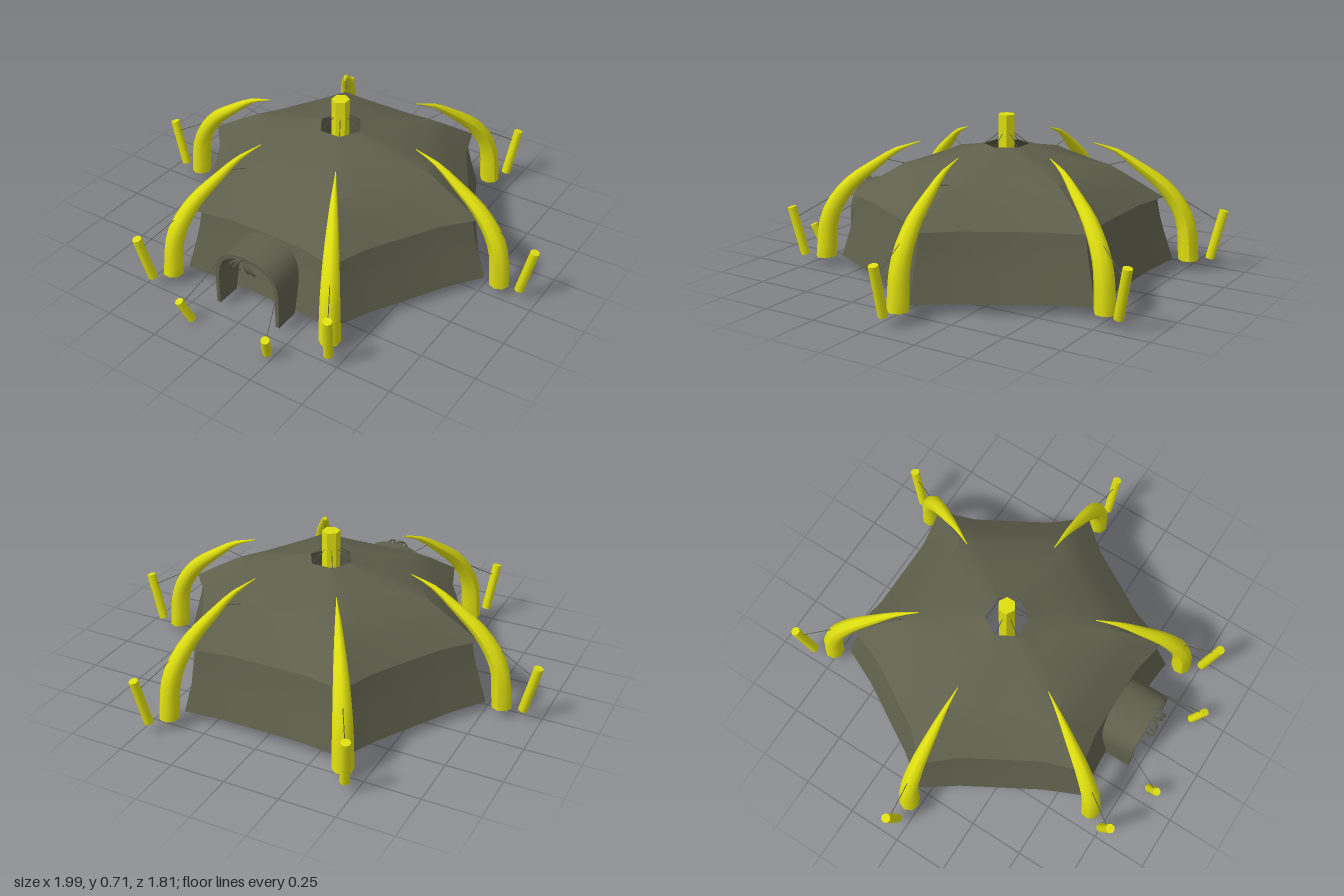
import * as THREE from 'three';
import { toCreasedNormals } from 'three/addons/utils/BufferGeometryUtils.js';

const canvas = new THREE.MeshStandardMaterial({ color: 0x5f5f4c, side: THREE.DoubleSide });
canvas.name = 'canvas';
const yellow = new THREE.MeshStandardMaterial({ color: 0xdede10 });
yellow.name = 'yellow';
const V = (x, y, z) => new THREE.Vector3(x, y, z);

function add(parent, name, geometry, material) {
  const mesh = new THREE.Mesh(geometry, material);
  mesh.name = name;
  parent.add(mesh);
  return mesh;
}

// straight rod between two points
function rod(parent, name, a, b, radius, sides, material) {
  const mesh = add(parent, name, new THREE.CylinderGeometry(radius, radius, a.distanceTo(b), sides), material);
  mesh.position.copy(a).lerp(b, 0.5);
  mesh.quaternion.setFromUnitVectors(V(0, 1, 0), b.clone().sub(a).normalize());
  return mesh;
}
const rope = (parent, a, b) => rod(parent, 'rope', a, b, 0.0018, 4, canvas);

// six-sided cloth skin; each profile row is [corner radius, y, inward sag of the sides]
function hexCloth(profile) {
  const pos = [], index = [], steps = [0, 0.25, 0.75], n = 18;
  for (const [r, y, sag] of profile) {
    for (let side = 0; side < 6; side++) {
      const a = side * Math.PI / 3, b = a + Math.PI / 3, m = a + Math.PI / 6;
      for (const t of steps) {
        const s = t ? sag : 0;
        pos.push(r * (Math.cos(a) * (1 - t) + Math.cos(b) * t) - s * Math.cos(m), y,
          -r * (Math.sin(a) * (1 - t) + Math.sin(b) * t) + s * Math.sin(m));
      }
    }
  }
  for (let i = 0; i < profile.length - 1; i++) {
    for (let j = 0; j < n; j++) {
      const a = i * n + j, b = i * n + (j + 1) % n;
      index.push(a, b, a + n, b, b + n, a + n);
    }
  }
  const g = new THREE.BufferGeometry();
  g.setAttribute('position', new THREE.Float32BufferAttribute(pos, 3));
  g.setIndex(index);
  return toCreasedNormals(g, 0.6);
}

// curved tusk-like leg, tapering to a point
function legGeometry() {
  const path = new THREE.CatmullRomCurve3([
    V(0.826, 0.045, 0), V(0.8, 0.24, 0), V(0.715, 0.375, 0),
    V(0.585, 0.48, 0), V(0.49, 0.545, 0), V(0.385, 0.583, 0)]);
  const n = 14, sides = 8;
  const g = new THREE.TubeGeometry(path, n, 0.046, sides);
  const p = g.attributes.position, v = V(0, 0, 0);
  for (let i = 0; i <= n; i++) {
    const c = path.getPointAt(i / n);
    const s = Math.max(0.04, 1 - Math.pow(i / n, 1.8));
    for (let j = 0; j <= sides; j++) {
      const k = i * (sides + 1) + j;
      v.fromBufferAttribute(p, k).sub(c).multiplyScalar(s).add(c);
      p.setXYZ(k, v.x, i === 0 ? 0.045 : v.y, v.z);
    }
  }
  g.computeVertexNormals();
  return g;
}

// arch outline with a round head
function arch(path, half, foot, spring, height) {
  path.moveTo(-half, foot);
  path.lineTo(-half, spring);
  path.bezierCurveTo(-half, height - 0.03, -half * 0.6, height, 0, height);
  path.bezierCurveTo(half * 0.6, height, half, height - 0.03, half, spring);
  path.lineTo(half, foot);
  return path;
}

function entrance() {
  const group = new THREE.Group();
  group.name = 'entrance';
  group.position.x = 0.022;
  // tunnel: outer arch, then back along the inner arch
  const shape = arch(new THREE.Shape(), 0.163, 0.028, 0.16, 0.325);
  const inner = arch(new THREE.Path(), 0.145, 0.028, 0.16, 0.307).getPoints(10).reverse();
  inner.forEach(q => shape.lineTo(q.x, q.y));
  let g = new THREE.ExtrudeGeometry(shape, { depth: 1, bevelEnabled: false, curveSegments: 10 });
  const p = g.attributes.position;
  for (let i = 0; i < p.count; i++) {
    p.setZ(i, p.getZ(i) > 0.5 ? 0.708 : 0.6 - 0.22 * p.getY(i));
  }
  g = toCreasedNormals(g, 0.7);
  add(group, 'entranceTunnel', g, canvas);
  // curled ties hanging over the opening
  for (const s of [-1, 1]) {
    for (const w of [0.03, 0.06]) {
      const tie = new THREE.CatmullRomCurve3([
        V(0, 0.315, 0.7), V(s * w * 0.4, 0.325, 0.735), V(s * w * 0.8, 0.305, 0.743),
        V(s * w, 0.275, 0.728), V(s * w * 0.8, 0.265, 0.712)]);
      add(group, 'tie', new THREE.TubeGeometry(tie, 12, 0.005, 5), canvas);
    }
    // guy stake and rope
    rod(group, 'entranceStake', V(s * 0.197, 0.008, 0.842), V(s * 0.222, 0.122, 0.885), 0.019, 8, yellow);
    rope(group, V(s * 0.218, 0.1, 0.878), V(s * 0.158, 0.23, 0.7));
  }
  return group;
}

export function createModel() {
  const model = new THREE.Group();
  model.name = 'tent';
  const tent = new THREE.Group();
  tent.name = 'hexTent';
  tent.position.z = -0.045;
  model.add(tent);

  // cloth
  add(tent, 'wall', hexCloth([[0.753, 0.045, 0.018], [0.71, 0.18, 0.022],
    [0.69, 0.25, 0.025], [0.672, 0.345, 0.03]]), canvas);
  add(tent, 'roof', hexCloth([[0.705, 0.335, 0.034], [0.58, 0.413, 0.02],
    [0.46, 0.484, 0.008], [0.26, 0.528, 0.003], [0.1, 0.576, 0]]), canvas);

  // centre pole
  const pole = add(tent, 'centrePole',
    toCreasedNormals(new THREE.CylinderGeometry(0.04, 0.04, 0.665, 6), 0.3), yellow);
  pole.position.y = 0.3775;

  // six legs, each with its stake and ropes
  const legShape = legGeometry();
  for (let i = 0; i < 6; i++) {
    const bay = new THREE.Group();
    bay.name = 'legBay';
    bay.rotation.y = i * Math.PI / 3;
    tent.add(bay);
    add(bay, 'leg', legShape, yellow);
    const foot = add(bay, 'legFoot', new THREE.CircleGeometry(0.046, 8), yellow);
    foot.rotation.x = Math.PI / 2;
    foot.position.set(0.826, 0.045, 0);
    rod(bay, 'stake', V(0.922, 0.052, 0), V(0.976, 0.275, 0), 0.021, 8, yellow);
    rope(bay, V(0.965, 0.22, 0), V(0.8, 0.32, 0));
    rope(bay, V(0.46, 0.484, 0), V(0.56, 0.505, 0));
    rope(bay, V(0.1, 0.576, 0), V(0.035, 0.625, 0));
  }

  model.add(entrance());
  return model;
}
